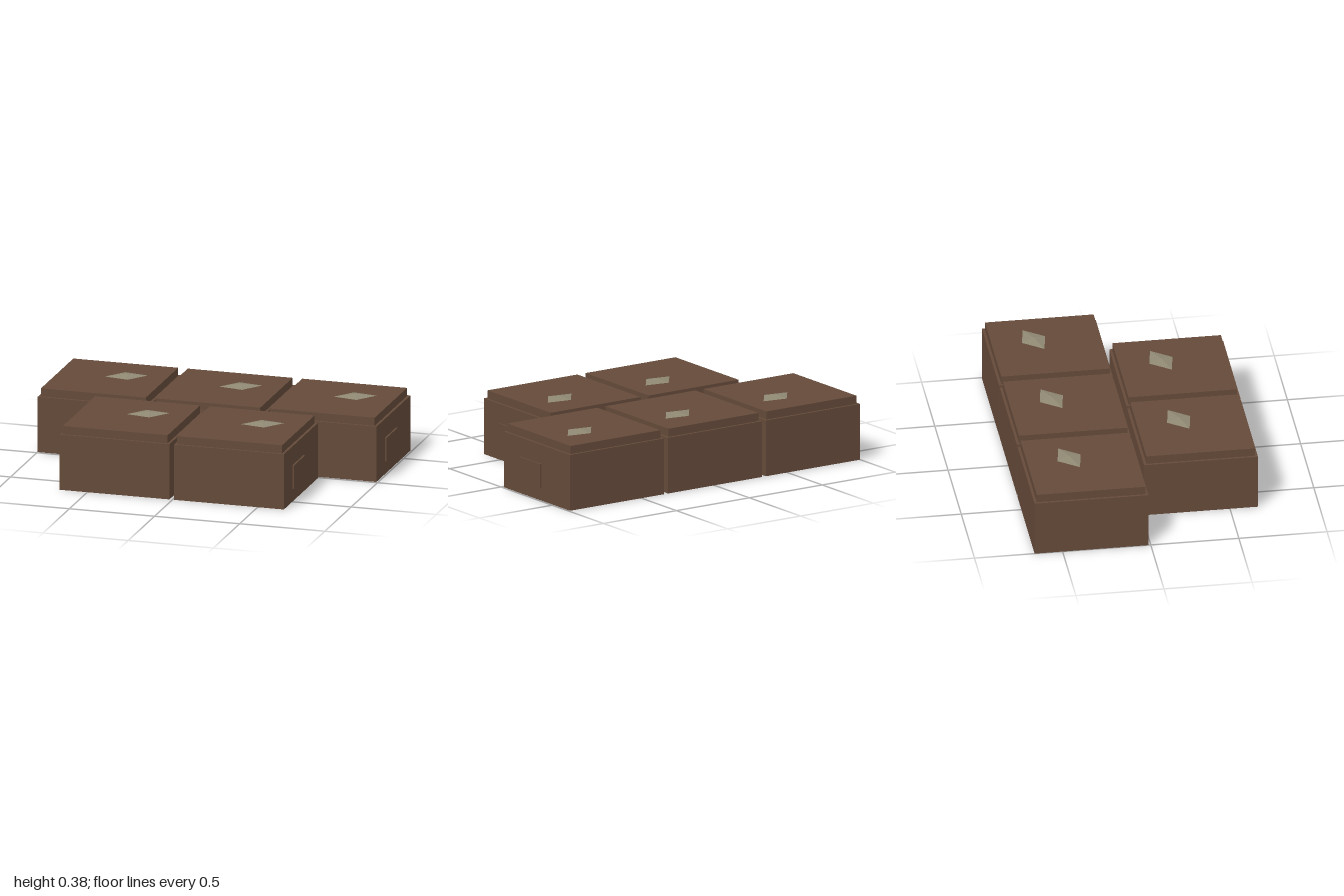
import * as THREE from 'three';

const SIZE = 0.646, BASE_H = 0.323, LID = 0.616, TOP = 0.37;

function createStone() {
  // low four-sided crystal with a skewed diamond outline, half sunk in the lid
  const geo = new THREE.OctahedronGeometry(1);
  geo.applyMatrix4(new THREE.Matrix4().makeBasis(
    new THREE.Vector3(0.113, 0, -0.045),
    new THREE.Vector3(0, 0.0145, 0),
    new THREE.Vector3(0.028, 0, 0.07)
  ));
  geo.computeVertexNormals();
  return geo;
}

export function createModel() {
  const group = new THREE.Group();
  const brown = new THREE.MeshStandardMaterial({ color: 0x644a39 });
  brown.name = 'brown wood';
  const grey = new THREE.MeshStandardMaterial({ color: 0x8f8873 });
  grey.name = 'grey stone';
  grey.flatShading = true;

  const baseGeo = new THREE.BoxGeometry(SIZE, BASE_H, SIZE);
  const lidGeo = new THREE.BoxGeometry(LID, TOP - BASE_H, LID);
  const plateGeo = new THREE.BoxGeometry(0.014, 0.138, 0.21);
  const stoneGeo = createStone();

  const add = (parent, name, geo, mat, x, y, z) => {
    const mesh = new THREE.Mesh(geo, mat);
    mesh.name = name;
    mesh.position.set(x, y, z);
    parent.add(mesh);
  };

  // three crates behind, two in front, staggered by half a crate
  const spots = [[-0.677, -0.336], [-0.005, -0.336], [0.667, -0.336], [-0.341, 0.336], [0.331, 0.336]];
  spots.forEach(([x, z], i) => {
    const crate = new THREE.Group();
    crate.name = `crate${i + 1}`;
    crate.position.set(x, 0, z);
    add(crate, 'base', baseGeo, brown, 0, BASE_H / 2, 0);
    add(crate, 'lid', lidGeo, brown, 0, (BASE_H + TOP) / 2, 0);
    add(crate, 'sidePlate', plateGeo, brown, SIZE / 2 + 0.003, 0.144, 0.058);
    add(crate, 'stone', stoneGeo, grey, 0.078, TOP, -0.067);
    group.add(crate);
  });
  return group;
}
